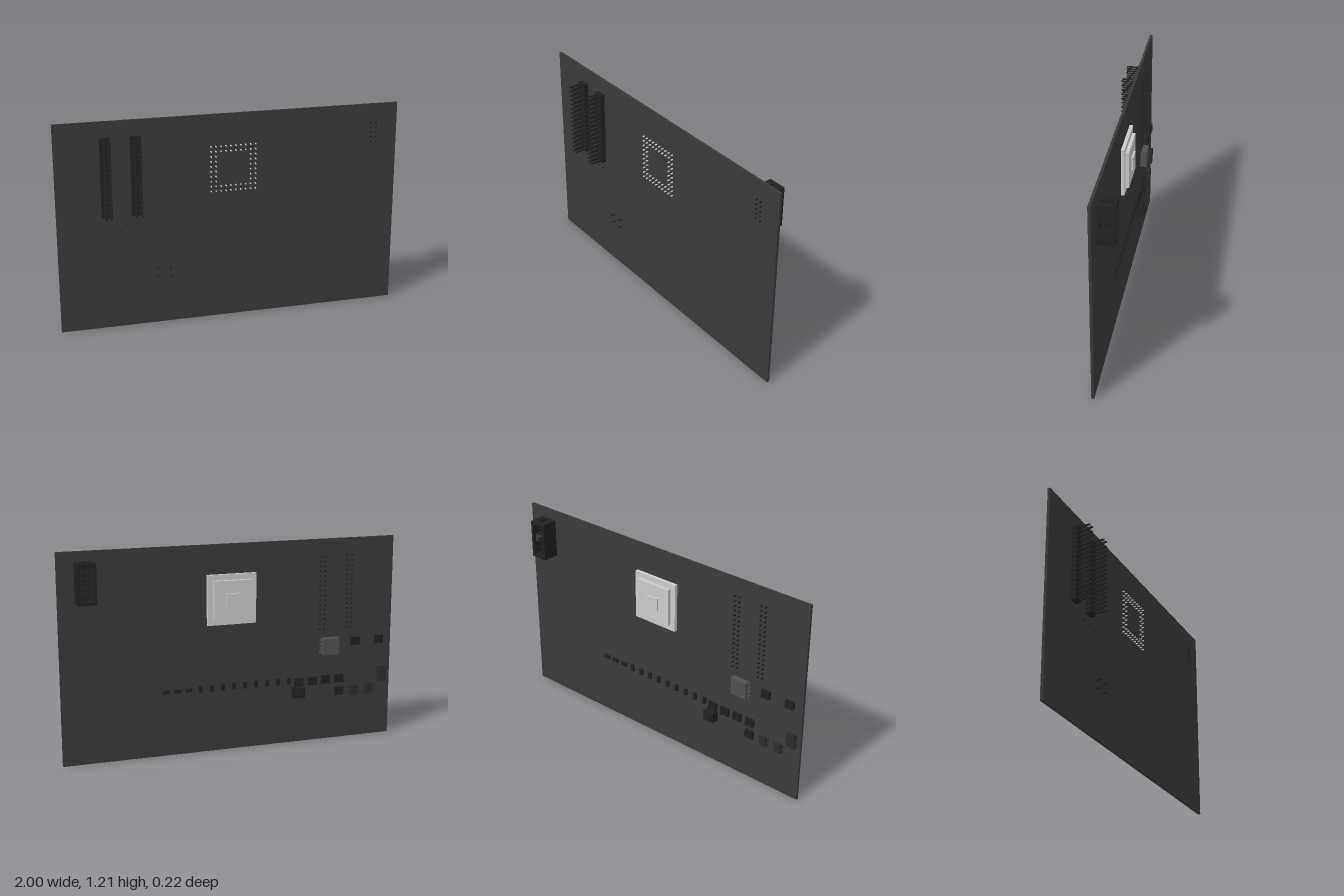
import * as THREE from 'three';

const mat = (color) => new THREE.MeshStandardMaterial({ color, flatShading: true });
const boardMat = mat(0x3a3a3a), black = mat(0x222222), charcoal = mat(0x2c2c2c);
const icMat = mat(0x505050), metal = mat(0xcccccc);
const BACK = -0.005, FRONT = 0.01;

function group(parent, name) {
  const g = new THREE.Group();
  g.name = name;
  parent.add(g);
  return g;
}

// Box centred on x, y, running from z0 to z1
function box(parent, name, x, y, w, h, z0, z1, material) {
  const m = new THREE.Mesh(new THREE.BoxGeometry(w, h, Math.abs(z1 - z0)), material);
  m.position.set(x, y, (z0 + z1) / 2);
  m.name = name;
  parent.add(m);
  return m;
}

// Pin or round part along z
function rod(parent, name, x, y, r, z0, z1, material, sides = 8) {
  const m = new THREE.Mesh(new THREE.CylinderGeometry(r, r, Math.abs(z1 - z0), sides), material);
  m.rotation.x = Math.PI / 2;
  m.position.set(x, y, (z0 + z1) / 2);
  m.name = name;
  parent.add(m);
}

// Wall plate u by v, centred, with a rectangular window
function windowPlate(u, v, thick, wu, wv, offset) {
  const rect = (T, a, b, dy) => {
    const s = new T();
    s.moveTo(-a / 2, dy - b / 2);
    s.lineTo(a / 2, dy - b / 2);
    s.lineTo(a / 2, dy + b / 2);
    s.lineTo(-a / 2, dy + b / 2);
    s.closePath();
    return s;
  };
  const shape = rect(THREE.Shape, u, v, 0);
  shape.holes.push(rect(THREE.Path, wu, wv, offset));
  return new THREE.ExtrudeGeometry(shape, { depth: thick, bevelEnabled: false }).translate(0, 0, -thick / 2);
}

// Double-row pin header on the front
function pinHeader(parent, x) {
  const g = group(parent, 'pinHeader');
  box(g, 'headerCore', x, 0.893, 0.05, 0.452, FRONT, 0.038, black);
  for (let i = 0; i < 16; i++) {
    const y = 0.68 + i * 0.0286;
    box(g, 'headerBlock', x, y, 0.058, 0.024, FRONT, 0.041, black);
    for (const s of [-1, 1]) box(g, 'headerPin', x + s * 0.0143, y, 0.008, 0.008, -0.02, 0.11, black);
  }
}

// Shrouded socket on the back, open away from the board
function shroudedSocket(parent) {
  const g = group(parent, 'shroudedSocket');
  const x = 0.853, y = 1.042, w = 0.104, h = 0.226, t = 0.016, z0 = -0.01, z1 = -0.108;
  const depth = z0 - z1, zc = (z0 + z1) / 2;
  box(g, 'socketFloor', x, y, w - 2 * t, h - 2 * t, z0, -0.026, black);
  box(g, 'sideWall', x - w / 2 + t / 2, y, t, h, z0, z1, black);
  const keyed = new THREE.Mesh(windowPlate(depth, h, t, 0.064, 0.054, 0), black);
  keyed.rotation.y = Math.PI / 2;
  keyed.position.set(x + w / 2 - t / 2, y, zc);
  keyed.name = 'keyedWall';
  g.add(keyed);
  for (const s of [-1, 1]) {
    const end = new THREE.Mesh(windowPlate(w - 2 * t, depth, t, 0.03, 0.055, 0), black);
    end.rotation.x = Math.PI / 2;
    end.position.set(x, y + s * (h / 2 - t / 2), zc);
    end.name = 'endWall';
    g.add(end);
  }
  for (let i = 0; i < 5; i++)
    for (const s of [-1, 1])
      box(g, 'socketPin', x + 0.002 + s * 0.0155, y + (i - 2) * 0.0284, 0.008, 0.008, -0.085, 0.02, black);
}

// Stepped processor with two rings of pins through the board
function processor(parent) {
  const g = group(parent, 'processor');
  const x = 0.01, y = 0.895;
  box(g, 'chipBase', x, y, 0.29, 0.29, BACK, -0.025, metal);
  box(g, 'chipStep', x, y, 0.225, 0.225, -0.025, -0.045, metal);
  box(g, 'chipLid', x, y, 0.08, 0.08, -0.045, -0.056, metal);
  for (let i = 0; i < 10; i++)
    for (let j = 0; j < 10; j++)
      if (Math.min(i, j, 9 - i, 9 - j) < 2)
        rod(g, 'chipPin', x + (i - 4.5) * 0.029, y + (j - 4.5) * 0.029, 0.004, BACK, 0.023, metal);
}

// Flat package with a row of legs on each side
function leggedChip(parent, name, x, y, w, h, top, legs, material) {
  const g = group(parent, name);
  box(g, 'package', x, y, w, h, -0.008, top, material);
  for (const s of [-1, 1])
    for (let i = 0; i < legs; i++) {
      const ly = y + ((i + 0.5) / legs - 0.5) * h;
      box(g, 'leg', x + s * (w / 2 + 0.005), ly, 0.011, h / legs * 0.45, BACK, top * 0.6, material);
    }
}

// Push button with four through pins
function pushButton(parent) {
  const g = group(parent, 'pushButton');
  const x = -0.402, y = 0.309;
  box(g, 'buttonBody', x, y, 0.072, 0.062, BACK, -0.045, black);
  box(g, 'buttonCollar', x, y, 0.058, 0.05, -0.045, -0.05, black);
  rod(g, 'plunger', x, y, 0.02, -0.05, -0.06, black, 20);
  for (const sx of [-1, 1])
    for (const sy of [-1, 1])
      rod(g, 'buttonPin', x + sx * 0.037, y + sy * 0.025, 0.005, BACK, 0.034, black);
}

// Small two-terminal part with raised ends
function passive(parent, x, y, w, h) {
  const g = group(parent, 'smallPart');
  const upright = h > w;
  box(g, 'partBody', x, y, w * 0.94, h * 0.94, BACK, -0.019, black);
  for (const s of [-1, 1])
    box(g, 'terminal', x + (upright ? 0 : s * w * 0.38), y + (upright ? s * h * 0.38 : 0),
      upright ? w : w * 0.24, upright ? h * 0.24 : h, BACK, -0.021, black);
}

export function createModel() {
  const model = new THREE.Group();
  model.name = 'circuitBoard';
  box(model, 'board', 0, 0.605, 2, 1.21, BACK, FRONT, boardMat);

  pinHeader(model, -0.72);
  pinHeader(model, -0.55);
  shroudedSocket(model);
  processor(model);
  pushButton(model);

  // Row of twelve small parts, the first three lying flat
  for (let i = 0; i < 12; i++) {
    const flat = i < 3;
    passive(model, 0.402 - i * 0.068, 0.38, flat ? 0.038 : 0.02, flat ? 0.02 : 0.038);
  }
  // Larger square parts
  for (const [x, y] of [[-0.408, 0.368], [-0.495, 0.368], [-0.58, 0.37], [-0.667, 0.37],
    [-0.667, 0.292], [-0.764, 0.592], [-0.92, 0.592]])
    passive(model, x, y, 0.054, 0.05);

  leggedChip(model, 'regulator', -0.6, 0.575, 0.1, 0.1, -0.042, 4, icMat);
  for (const x of [-0.764, -0.862]) leggedChip(model, 'transistor', x, 0.291, 0.042, 0.062, -0.023, 2, charcoal);
  leggedChip(model, 'controllerChip', -0.945, 0.376, 0.05, 0.092, -0.022, 4, charcoal);

  // Locating pegs below the headers
  for (const x of [-0.605, -0.553]) rod(model, 'peg', x, 0.612, 0.005, BACK, 0.018, black);
  return model;
}
